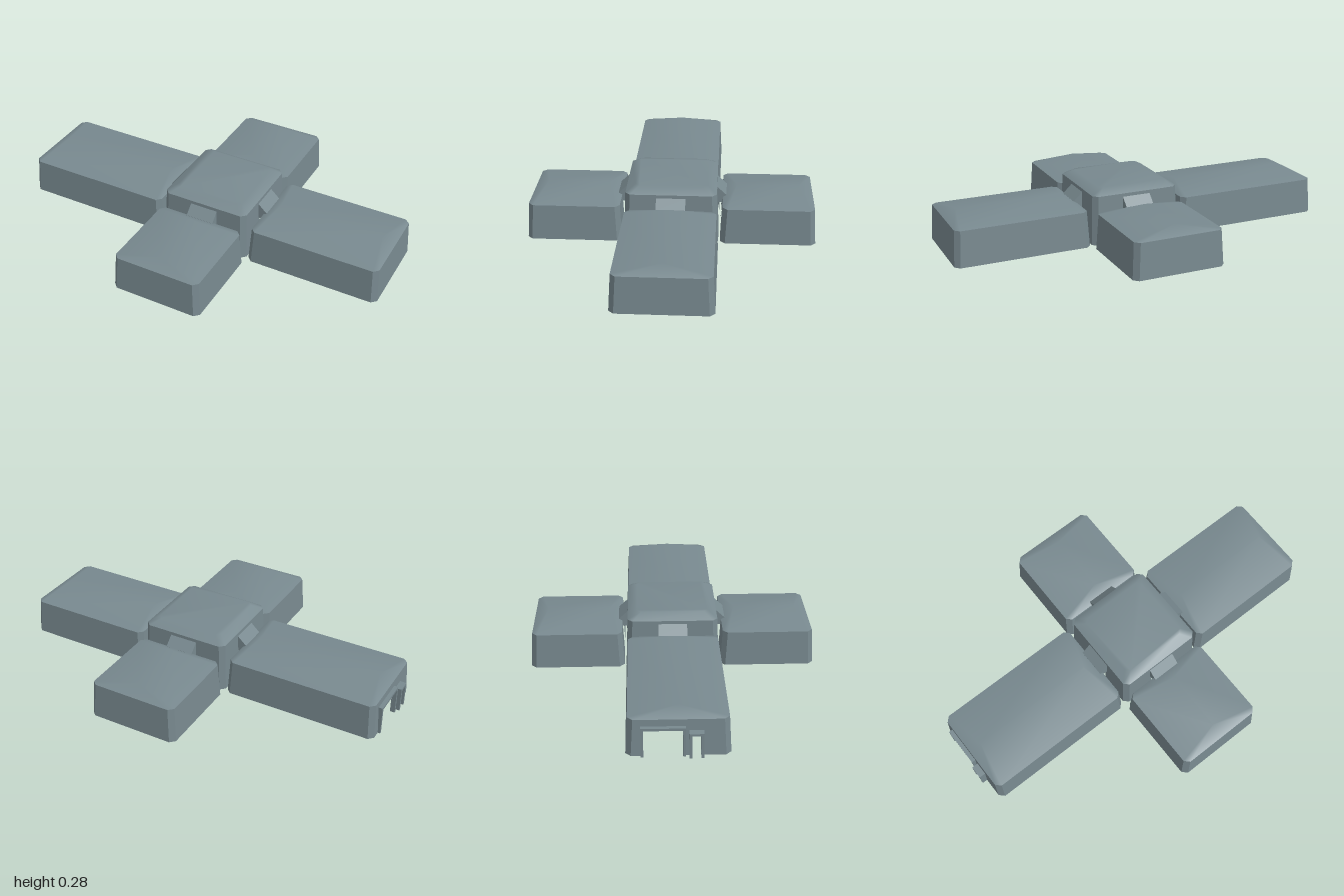
import * as THREE from 'three';

const slate = new THREE.MeshStandardMaterial({ color: 0x78898f, side: THREE.DoubleSide });
slate.name = 'slateGrey';

function part(name, geometry) {
  const mesh = new THREE.Mesh(geometry, slate);
  mesh.name = name;
  return mesh;
}

// Rectangle with clipped corners, counterclockwise from above, starting on the front edge
function ring(hx, hz, c) {
  return [[-hx + c, hz], [hx - c, hz], [hx, hz - c], [hx, -hz + c],
    [hx - c, -hz], [-hx + c, -hz], [-hx, -hz + c], [-hx, hz - c]];
}

// Leaning wall panel between two ring corners; doors are [from, to, height], measured from the panel middle
function wallPanel(b0, b1, t0, t1, height, doors = []) {
  const len = Math.hypot(b1[0] - b0[0], b1[1] - b0[1]);
  const s = new THREE.Shape();
  s.moveTo(0, 0);
  for (const [a, b, h] of doors) {
    s.lineTo(len / 2 + a, 0);
    s.lineTo(len / 2 + a, h);
    s.lineTo(len / 2 + b, h);
    s.lineTo(len / 2 + b, 0);
  }
  s.lineTo(len, 0);
  s.lineTo(len, height);
  s.lineTo(0, height);
  s.closePath();
  const geo = new THREE.ShapeGeometry(s);
  const p = geo.attributes.position;
  const mix = THREE.MathUtils.lerp;
  for (let i = 0; i < p.count; i++) {
    const u = p.getX(i) / len, y = p.getY(i), v = y / height;
    p.setXYZ(i, mix(mix(b0[0], b1[0], u), mix(t0[0], t1[0], u), v), y,
      mix(mix(b0[1], b1[1], u), mix(t0[1], t1[1], u), v));
  }
  geo.computeVertexNormals();
  return geo;
}

// Smooth roof from the eave ring up to either a two-point ridge or a clipped rectangle
function roofGeometry(eave, eaveY, upper, upperY, pick) {
  const pos = [], idx = [];
  eave.forEach(([x, z]) => pos.push(x, eaveY, z));
  upper.forEach(([x, z]) => pos.push(x, upperY, z));
  for (let i = 0; i < 8; i++) {
    const j = (i + 1) % 8, ti = 8 + pick(i), tj = 8 + pick(j);
    idx.push(i, j, tj);
    if (ti !== tj) idx.push(i, tj, ti);
  }
  for (let i = 1; i < upper.length - 1; i++) idx.push(8, 8 + i, 9 + i);
  const geo = new THREE.BufferGeometry();
  geo.setAttribute('position', new THREE.Float32BufferAttribute(pos, 3));
  geo.setIndex(idx);
  geo.computeVertexNormals();
  return geo;
}

// Hollow module, open underneath; doors are keyed by wall: 0 front, 2 +x, 4 back, 6 -x
function building(name, { x, z, hx, hz, wallH, topH, ridge, doors }) {
  const g = new THREE.Group();
  g.name = name;
  g.position.set(x, 0, z);
  const foot = ring(hx, hz, 0.024);
  const eave = ring(hx - 0.01, hz - 0.01, 0.024);
  for (let i = 0; i < 8; i++) {
    const j = (i + 1) % 8;
    g.add(part(i % 2 ? 'cornerPanel' : 'wall',
      wallPanel(foot[i], foot[j], eave[i], eave[j], wallH, doors[i])));
  }
  let upper, pick;
  if (ridge === 'x') {
    upper = [[-hx + 0.075, 0], [hx - 0.075, 0]];
    pick = i => (eave[i][0] > 0 ? 1 : 0);
  } else if (ridge === 'z') {
    upper = [[0, hz - 0.08], [0, -hz + 0.08]];
    pick = i => (eave[i][1] > 0 ? 0 : 1);
  } else {
    upper = ring(hx - 0.058, hz - 0.058, 0.02);
    pick = i => i;
  }
  g.add(part('roof', roofGeometry(eave, wallH, upper, topH, pick)));
  return g;
}

// Sloped hood bridging the gap between hub and wing, built pointing along +x
function hood() {
  const s = new THREE.Shape();
  s.moveTo(0, 0.15);
  s.lineTo(0.048, 0.15);
  s.lineTo(0.048, 0.19);
  s.lineTo(0, 0.235);
  s.closePath();
  const geo = new THREE.ExtrudeGeometry(s, { depth: 0.145, bevelEnabled: false });
  geo.translate(0.225, 0, -0.0725);
  return part('connectorHood', geo);
}

// U-shaped frame around an end door, lying in the z-y plane
function doorFrame(name, x0, x1, z0, z1, h, t) {
  const s = new THREE.Shape();
  [[z0, 0], [z0 + t, 0], [z0 + t, h - t], [z1 - t, h - t], [z1 - t, 0], [z1, 0], [z1, h], [z0, h]]
    .forEach(([z, y], i) => (i ? s.lineTo(-z, y) : s.moveTo(-z, y)));
  const geo = new THREE.ExtrudeGeometry(s, { depth: x1 - x0, bevelEnabled: false });
  geo.rotateY(Math.PI / 2);
  geo.translate(x0, 0, 0);
  return part(name, geo);
}

export function createModel() {
  const model = new THREE.Group();
  model.name = 'crossShapedBase';
  const cx = 0.065;
  const pass = [[-0.065, 0.065, 0.17]];
  const wing = { wallH: 0.18, topH: 0.217 };

  // Central hub with a passage on every side
  model.add(building('hub', {
    x: cx, z: -0.002, hx: 0.236, hz: 0.236, wallH: 0.25, topH: 0.28,
    doors: { 0: pass, 2: pass, 4: pass, 6: pass },
  }));

  // Four wings; the long one has two doors in its far end
  model.add(building('frontWing', { ...wing, x: cx, z: 0.48, hx: 0.236, hz: 0.237, ridge: 'z', doors: { 4: pass } }));
  model.add(building('backWing', { ...wing, x: cx, z: -0.484, hx: 0.236, hz: 0.237, ridge: 'z', doors: { 0: pass } }));
  model.add(building('leftWing', { ...wing, x: 0.654, z: -0.002, hx: 0.343, hz: 0.236, ridge: 'x', doors: { 6: pass } }));
  model.add(building('rightWing', {
    ...wing, x: -0.578, z: -0.002, hx: 0.396, hz: 0.236, ridge: 'x',
    doors: { 2: pass, 6: [[-0.16, 0.02, 0.135], [0.055, 0.1, 0.115]] },
  }));

  // Hoods over the four passages
  for (let i = 0; i < 4; i++) {
    const pivot = new THREE.Group();
    pivot.name = 'connector';
    pivot.position.set(cx, 0, -0.002);
    pivot.rotation.y = i * Math.PI / 2;
    pivot.add(hood());
    model.add(pivot);
  }

  // Frames on the end doors
  model.add(doorFrame('largeDoorFrame', -0.986, -0.962, -0.17, 0.03, 0.147, 0.012));
  model.add(doorFrame('smallDoorFrame', -1.0, -0.964, 0.045, 0.11, 0.125, 0.012));
  return model;
}
